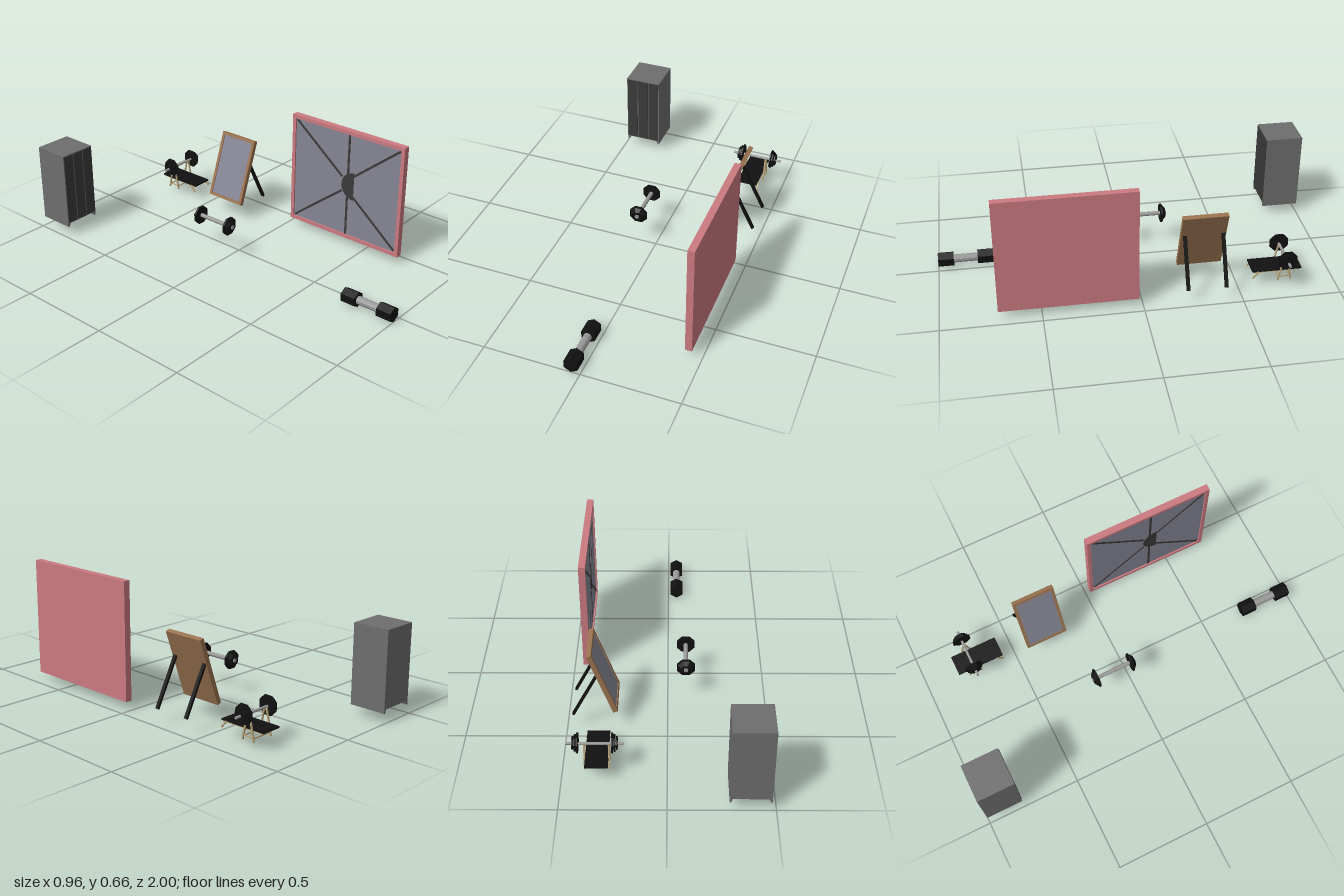
import * as THREE from 'three';

const mat = (color) => new THREE.MeshStandardMaterial({ color, flatShading: true });
const black = mat(0x111111), steel = mat(0x999999), grey = mat(0x6e6e6e), dark = mat(0x3a3a3a);
const red = mat(0xcb7a80), wood = mat(0x9a7350), tan = mat(0xb8a478), glassMat = mat(0x858594);

function add(parent, name, geo, material, x = 0, y = 0, z = 0) {
  const m = new THREE.Mesh(geo, material);
  m.name = name;
  m.position.set(x, y, z);
  parent.add(m);
  return m;
}
function group(parent, name, x = 0, y = 0, z = 0) {
  const g = new THREE.Group();
  g.name = name;
  g.position.set(x, y, z);
  parent.add(g);
  return g;
}
const box = (w, h, d) => new THREE.BoxGeometry(w, h, d);

// Square beam between two points
function beam(parent, name, a, b, w, d, material) {
  const p = new THREE.Vector3(...a), q = new THREE.Vector3(...b);
  const dir = q.clone().sub(p);
  const m = add(parent, name, box(w, dir.length(), d), material);
  m.position.copy(p).add(q).multiplyScalar(0.5);
  m.quaternion.setFromUnitVectors(new THREE.Vector3(0, 1, 0), dir.normalize());
}

// Prism along z; r1 is the radius at the +z end
function prismZ(r1, r0, len, sides, turn = 0) {
  return new THREE.CylinderGeometry(r1, r0, len, sides, 1, false, turn).rotateX(Math.PI / 2);
}

// Framed panel centred on the origin, glass facing -x
function framedMirror(parent, name, width, height, depth, border, recess, material) {
  const g = group(parent, name);
  const rect = (C, w, h) => new C([[-w, -h], [w, -h], [w, h], [-w, h]].map(([x, y]) => new THREE.Vector2(x / 2, y / 2)));
  const shape = rect(THREE.Shape, width, height);
  shape.holes.push(rect(THREE.Path, width - 2 * border, height - 2 * border));
  const rim = new THREE.ExtrudeGeometry(shape, { depth: recess, bevelEnabled: false });
  rim.rotateY(-Math.PI / 2);
  add(g, 'frame', rim, material, recess - depth / 2);
  add(g, 'backBoard', box(depth - recess, height, width), material, recess / 2);
  add(g, 'glass', box(0.002, height - 2 * border, width - 2 * border), glassMat, recess - depth / 2 - 0.001);
  return g;
}

function locker(root) {
  const g = group(root, 'locker', -0.382, 0, -0.9);
  add(g, 'body', box(0.196, 0.397, 0.196), grey, 0, 0.27, -0.002);
  for (let i = -1; i <= 1; i++) add(g, 'door', box(0.059, 0.386, 0.006), dark, i * 0.0645, 0.27, 0.096);
  add(g, 'underside', box(0.17, 0.002, 0.17), dark, 0, 0.071, 0);
  // Tapered skirts under both sides
  for (const s of [-1, 1]) {
    const skirt = new THREE.Shape([[0.098, 0.072], [0.083, 0.072], [0.09, 0.052], [0.098, 0.052]]
      .map(([x, y]) => new THREE.Vector2(s * x, y)));
    add(g, 'foot', new THREE.ExtrudeGeometry(skirt, { depth: 0.196, bevelEnabled: false }), grey, 0, 0, -0.1);
  }
}

function plateDumbbell(root) {
  const g = group(root, 'plateDumbbell', -0.093, 0.186, -0.086);
  add(g, 'bar', prismZ(0.011, 0.011, 0.25, 12), steel);
  for (const s of [-1, 1]) {
    const end = group(g, 'weights');
    if (s < 0) end.rotation.y = Math.PI;
    add(end, 'largePlate', prismZ(0.05, 0.05, 0.011, 8, Math.PI / 8), black, 0, 0, 0.098);
    add(end, 'taperedPlate', prismZ(0.026, 0.045, 0.016, 8, Math.PI / 8), black, 0, 0, 0.112);
  }
}

function hexDumbbell(root) {
  const g = group(root, 'hexDumbbell', -0.047, 0.04, 0.858);
  add(g, 'grip', prismZ(0.021, 0.021, 0.15, 10), steel);
  for (const s of [-1, 1]) add(g, 'head', prismZ(0.04, 0.04, 0.08, 6), black, 0, 0, s * 0.102);
}

function wallMirror(root) {
  const g = framedMirror(root, 'wallMirror', 0.695, 0.615, 0.035, 0.02, 0.01, red);
  g.position.set(0.433, 0.348, 0.368);
  // Cracks radiating to a missing shard
  const x = -0.0105;
  for (const [z, y, cz, cy] of [[-0.32, 0.28, -0.02, 0.04], [0.32, 0.28, 0.04, 0.05], [-0.32, -0.28, -0.02, -0.04],
    [0.32, -0.28, 0.04, -0.05], [0.015, 0.287, 0.015, 0], [0.015, -0.287, 0.015, 0]]) {
    beam(g, 'crack', [x, y, z], [x, cy, cz], 0.003, 0.012, dark);
  }
  const shard = new THREE.CylinderGeometry(0.078, 0.078, 0.004, 10, 1, false, Math.PI / 2, Math.PI);
  shard.rotateZ(Math.PI / 2);
  add(g, 'hole', shard, new THREE.MeshStandardMaterial({ color: 0x3a3a3a, flatShading: true, side: THREE.DoubleSide }), x, 0, 0.055);
}

function standingMirror(root) {
  const g = group(root, 'standingMirror');
  const m = framedMirror(g, 'mirrorPanel', 0.228, 0.366, 0.024, 0.016, 0.006, wood);
  m.position.set(0.318, 0.271, -0.317);
  m.rotation.z = -0.336;
  for (const z of [-0.416, -0.223]) beam(g, 'supportLeg', [0.345, 0.317, z], [0.469, 0.074, z], 0.012, 0.018, black);
}

function weightBench(root) {
  const g = group(root, 'weightBench', 0.332, 0, -0.735);
  add(g, 'pad', box(0.11, 0.008, 0.255), black, 0, 0.093, 0.04);
  add(g, 'seatBoard', box(0.104, 0.006, 0.24), tan, 0, 0.086, 0.04);
  for (const s of [-1, 1]) {
    const x = s * 0.058;
    // A-frame, bar post and short end legs
    beam(g, 'postFront', [x, 0.034, 0.034], [x, 0.165, 0.006], 0.008, 0.007, tan);
    beam(g, 'postBack', [x, 0.034, -0.034], [x, 0.165, -0.006], 0.008, 0.007, tan);
    add(g, 'barRest', box(0.009, 0.014, 0.018), tan, x, 0.16, 0);
    beam(g, 'sideBrace', [x, 0.055, -0.03], [x, 0.055, 0.03], 0.005, 0.005, tan);
    beam(g, 'endLeg', [x, 0.092, 0.135], [x, 0.055, 0.165], 0.007, 0.007, tan);
    beam(g, 'crossBrace', [-0.058, 0.052, s * 0.03], [0.058, 0.052, s * 0.03], 0.005, 0.005, tan);
    beam(g, 'upperBrace', [-0.058, 0.083, s * 0.024], [0.058, 0.083, s * 0.024], 0.006, 0.006, tan);
  }
  // Barbell with three plates on each side
  const b = group(g, 'barbell', 0.008, 0.17, 0);
  b.rotation.y = Math.PI / 2;
  add(b, 'bar', prismZ(0.007, 0.007, 0.272, 10), steel, 0, -0.004, 0);
  for (const s of [-1, 1]) {
    [[0.082, 0.052], [0.093, 0.044], [0.104, 0.034]].forEach(([z, r]) =>
      add(b, 'plate', prismZ(r, r, 0.007, 8, Math.PI / 8), black, 0, 0, s * z));
  }
}

export function createModel() {
  const root = new THREE.Group();
  root.name = 'gymEquipment';
  [locker, plateDumbbell, hexDumbbell, wallMirror, standingMirror, weightBench].forEach((build) => build(root));
  return root;
}
